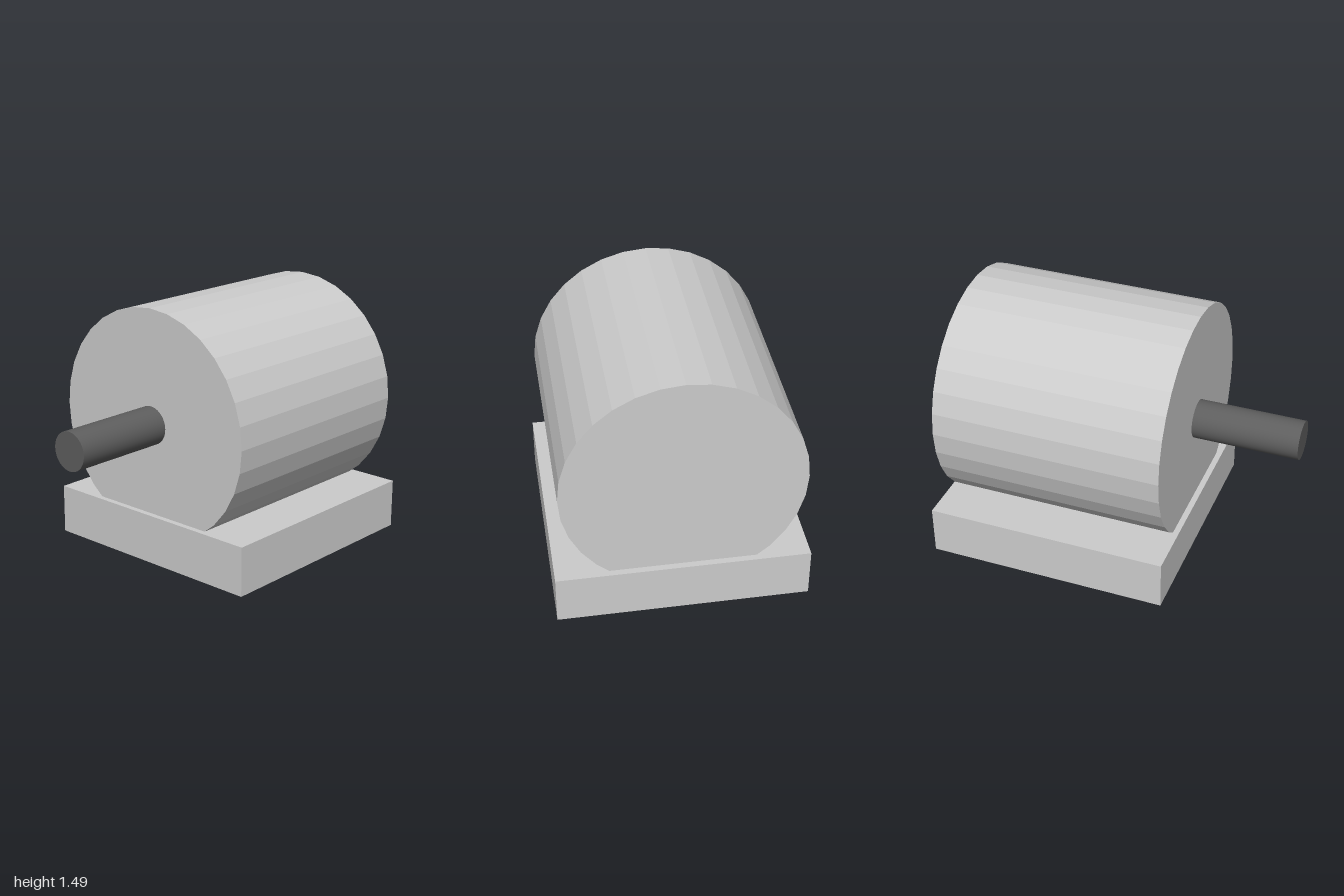
import * as THREE from 'three';

const grey = new THREE.MeshStandardMaterial({ color: 0xcccccc, flatShading: true });
const dark = new THREE.MeshStandardMaterial({ color: 0x5e5e5e });

const AXIS_Y = 0.82; // height of the motor axis

// Cylinder along z between two z positions
function barrel(name, radius, z0, z1, sides, material) {
  const geometry = new THREE.CylinderGeometry(radius, radius, z1 - z0, sides).rotateX(Math.PI / 2);
  const mesh = new THREE.Mesh(geometry, material);
  mesh.name = name;
  mesh.position.set(0, AXIS_Y, (z0 + z1) / 2);
  return mesh;
}

export function createModel() {
  const model = new THREE.Group();
  model.name = 'motor';

  // Mounting block
  const base = new THREE.Mesh(new THREE.BoxGeometry(1.416, 0.29, 1.416), grey);
  base.name = 'base';
  base.position.set(0, 0.145, -0.292);
  model.add(base);

  // Faceted housing, sunk into the base
  model.add(barrel('housing', 0.672, -0.963, 0.382, 32, grey));

  // Smooth output shaft
  model.add(barrel('shaft', 0.112, 0.382, 1, 48, dark));

  return model;
}
